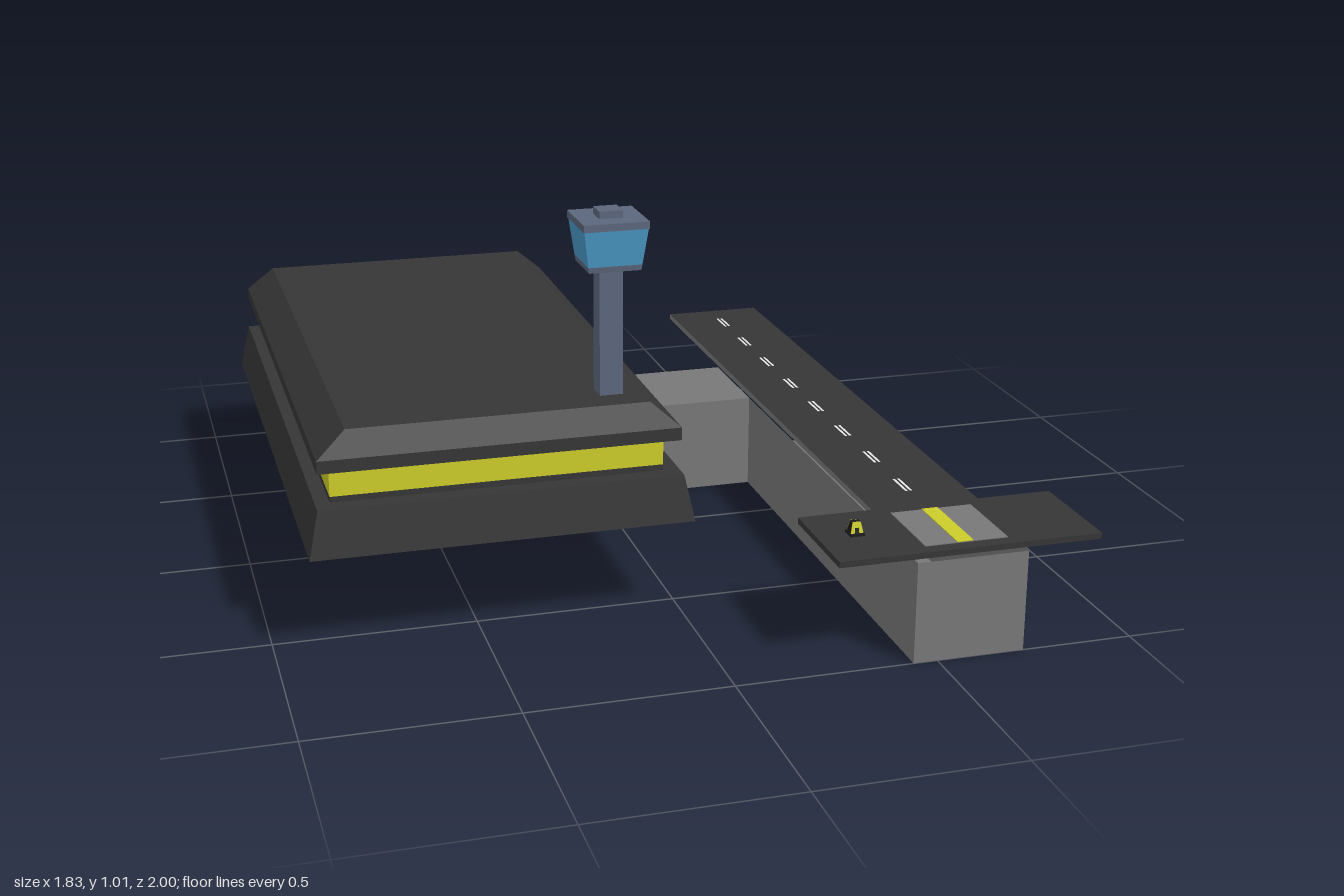
import * as THREE from 'three';

const mat = (name, color, side = THREE.FrontSide) => {
  const m = new THREE.MeshStandardMaterial({ color, side });
  m.name = name;
  return m;
};

// Box given by its limits; the top may be pulled in by insets on each side
function block(x0, x1, y0, y1, z0, z1, top = [0, 0, 0, 0]) {
  const g = new THREE.BoxGeometry(x1 - x0, y1 - y0, z1 - z0);
  g.translate((x0 + x1) / 2, (y0 + y1) / 2, (z0 + z1) / 2);
  const p = g.attributes.position;
  const cx = (x0 + x1) / 2, cz = (z0 + z1) / 2;
  for (let i = 0; i < p.count; i++) {
    if (p.getY(i) < (y0 + y1) / 2) continue;
    p.setX(i, p.getX(i) < cx ? x0 + top[0] : x1 - top[1]);
    p.setZ(i, p.getZ(i) < cz ? z0 + top[2] : z1 - top[3]);
  }
  g.computeVertexNormals();
  return g;
}

// Drops the box sides listed (0 +x, 1 -x, 2 +y, 3 -y, 4 +z, 5 -z)
function openSides(g, sides) {
  const idx = Array.from(g.index.array);
  g.setIndex(idx.filter((_, i) => !sides.includes(Math.floor(i / 6))));
  g.clearGroups();
  return g;
}

export function createModel() {
  const dark = mat('charcoal', 0x363636);
  const grey = mat('concrete grey', 0x787878);
  const shell = mat('open concrete grey', 0x787878, THREE.DoubleSide);
  const yellow = mat('yellow', 0xcccc2a);
  const steel = mat('steel grey', 0x5c677d);
  const glass = mat('blue glass', 0x4a98c6);
  const white = mat('white paint', 0xe6e6e6);
  const black = mat('black', 0x1c1c1c);

  const model = new THREE.Group();
  model.name = 'airfield';
  const group = (name) => {
    const g = new THREE.Group();
    g.name = name;
    model.add(g);
    return g;
  };
  const add = (parent, name, geo, material) => {
    const m = new THREE.Mesh(geo, material);
    m.name = name;
    parent.add(m);
    return m;
  };

  // Terminal: sloped base, recessed lit band, bevelled roof
  const hall = group('terminal');
  add(hall, 'base', block(-0.915, 0.02, 0.255, 0.372, -0.92, 0.62, [0.025, 0.025, 0.015, 0.015]), dark);
  add(hall, 'lowerNeck', block(-0.855, -0.045, 0.372, 0.387, -0.845, 0.56), dark);
  add(hall, 'yellowBand', block(-0.855, -0.045, 0.387, 0.446, -0.845, 0.56), yellow);
  add(hall, 'upperNeck', block(-0.855, -0.045, 0.446, 0.46, -0.845, 0.56), dark);
  add(hall, 'roofEdge', block(-0.887, -0.01, 0.46, 0.492, -0.89, 0.6), dark);
  add(hall, 'roof', block(-0.887, -0.01, 0.492, 0.555, -0.89, 0.6, [0.072, 0.072, 0.025, 0.028]), dark);

  // Control tower
  const tower = group('controlTower');
  tower.position.set(-0.158, 0, 0.47);
  const square = (r, y0, y1, flare = 0) => block(-r, r, y0, y1, -r, r, [-flare, -flare, -flare, -flare]);
  add(tower, 'shaft', square(0.029, 0.555, 0.875), steel);
  add(tower, 'cabFloor', square(0.064, 0.872, 0.886, 0.002), steel);
  add(tower, 'cabWindows', square(0.066, 0.886, 0.975, 0.012), glass);
  add(tower, 'cabRoof', square(0.08, 0.975, 0.993), steel);
  add(tower, 'cap', square(0.029, 0.993, 1.011), steel);

  // Hollow support beam with a side arm reaching under the terminal
  const support = group('support');
  add(support, 'beam', openSides(block(0.44, 0.72, 0, 0.255, -0.215, 1), [2, 5]), shell);
  add(support, 'beamEnd', openSides(block(0.44, 0.72, 0, 0.255, -0.505, -0.215), [1, 2, 4, 5]), shell);
  add(support, 'sideArm', openSides(block(-0.04, 0.44, 0, 0.255, -0.505, -0.215), [0]), grey);

  // Runway deck and cross deck
  const runway = group('runway');
  add(runway, 'deck', block(0.44, 0.72, 0.26, 0.275, -1, 0.715), [grey, grey, dark, dark, dark, dark]);
  add(runway, 'crossDeck', block(0.25, 0.912, 0.26, 0.275, 0.71, 0.99), dark);
  add(runway, 'pad', block(0.475, 0.685, 0.275, 0.277, 0.745, 0.957), grey);
  add(runway, 'padStripe', block(0.556, 0.597, 0.277, 0.279, 0.745, 0.957), yellow);
  for (let i = 0; i < 8; i++) {
    const z = -0.87 + i * 0.2065;
    for (const x of [0.57, 0.582]) {
      add(runway, 'centreDash', block(x - 0.003, x + 0.003, 0.275, 0.276, z - 0.041, z + 0.041), white);
    }
  }

  // Small marker with yellow faces on the cross deck
  const marker = group('marker');
  marker.position.set(0.345, 0.275, 0.842);
  add(marker, 'markerFoot', block(-0.018, 0.018, 0, 0.007, -0.018, 0.018), black);
  add(marker, 'markerBody', block(-0.016, 0.016, 0.007, 0.034, -0.013, 0.013, [0.006, 0.006, 0.006, 0.006]), black);
  for (const s of [-1, 1]) {
    const plate = new THREE.Group();
    plate.name = 'markerFace';
    plate.rotation.y = s > 0 ? 0 : Math.PI;
    marker.add(plate);
    add(plate, 'yellowFace', block(-0.016, 0.016, 0.007, 0.034, 0.011, 0.014, [0.006, 0.006, -0.004, 0.006]), yellow);
    add(plate, 'darkCentre', block(-0.005, 0.005, 0.007, 0.02, 0.012, 0.0145, [0, 0, 0, 0.003]), black);
  }
  return model;
}
